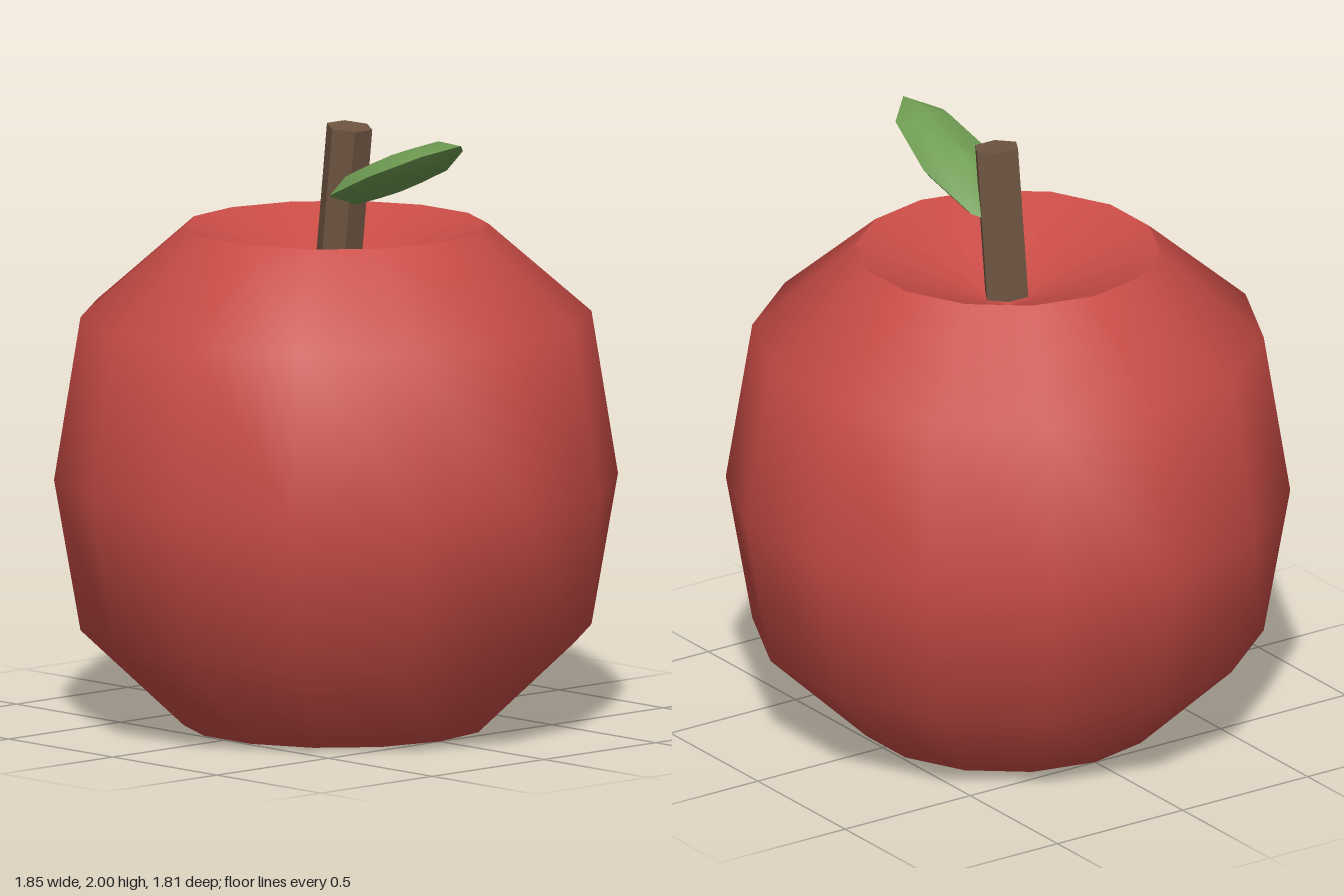
import * as THREE from 'three';

const material = (name, color, extra = {}) => {
  const m = new THREE.MeshStandardMaterial({ color, ...extra });
  m.name = name;
  return m;
};

// Revolve [radius, height] pairs, with a corner pointing along +x
function revolve(points, sides) {
  return new THREE.LatheGeometry(points.map(([r, y]) => new THREE.Vector2(r, y)), sides, Math.PI / 2);
}

export function createModel() {
  const model = new THREE.Group();
  model.name = 'apple';
  const red = material('apple red', 0xc94c46);
  const brown = material('stem brown', 0x6f5541);
  const green = material('leaf green', 0x6f9c53);

  const add = (name, geometry, mat, parent = model) => {
    const mesh = new THREE.Mesh(geometry, mat);
    mesh.name = name;
    parent.add(mesh);
    return mesh;
  };

  // Fruit: smooth skin, with sharp rims round the top and bottom hollows
  const skin = [[0.5, 0], [0.84, 0.32], [0.927, 0.82], [0.84, 1.36], [0.5, 1.655]];
  add('skin', revolve(skin, 14), red);
  add('topHollow', revolve([[0.5, 1.655], [0, 1.45]], 14), red);
  add('bottomHollow', revolve([[0, 0.2], [0.5, 0]], 14), red);

  // Stem: leaning six-sided rod, standing in the top hollow
  const stemGeometry = new THREE.CylinderGeometry(0.078, 0.078, 0.51, 6).toNonIndexed();
  stemGeometry.computeVertexNormals();
  const stem = add('stem', stemGeometry, brown);
  stem.position.set(0.036, 1.738, 0);
  stem.rotation.z = -0.116;

  // Leaf: flattened eight-sided lens with a sharp edge between its two faces
  const leaf = new THREE.Group();
  leaf.name = 'leaf';
  leaf.position.set(0.29, 1.862, 0);
  leaf.rotation.z = 0.39;
  model.add(leaf);
  const halves = {
    leafTop: [[1, 0], [0.707, 0.707], [0, 1]],
    leafUnderside: [[0, -1], [0.707, -0.707], [1, 0]],
  };
  for (const [name, profile] of Object.entries(halves)) {
    add(name, revolve(profile, 8).scale(0.335, 0.062, 0.134), green, leaf);
  }
  return model;
}
